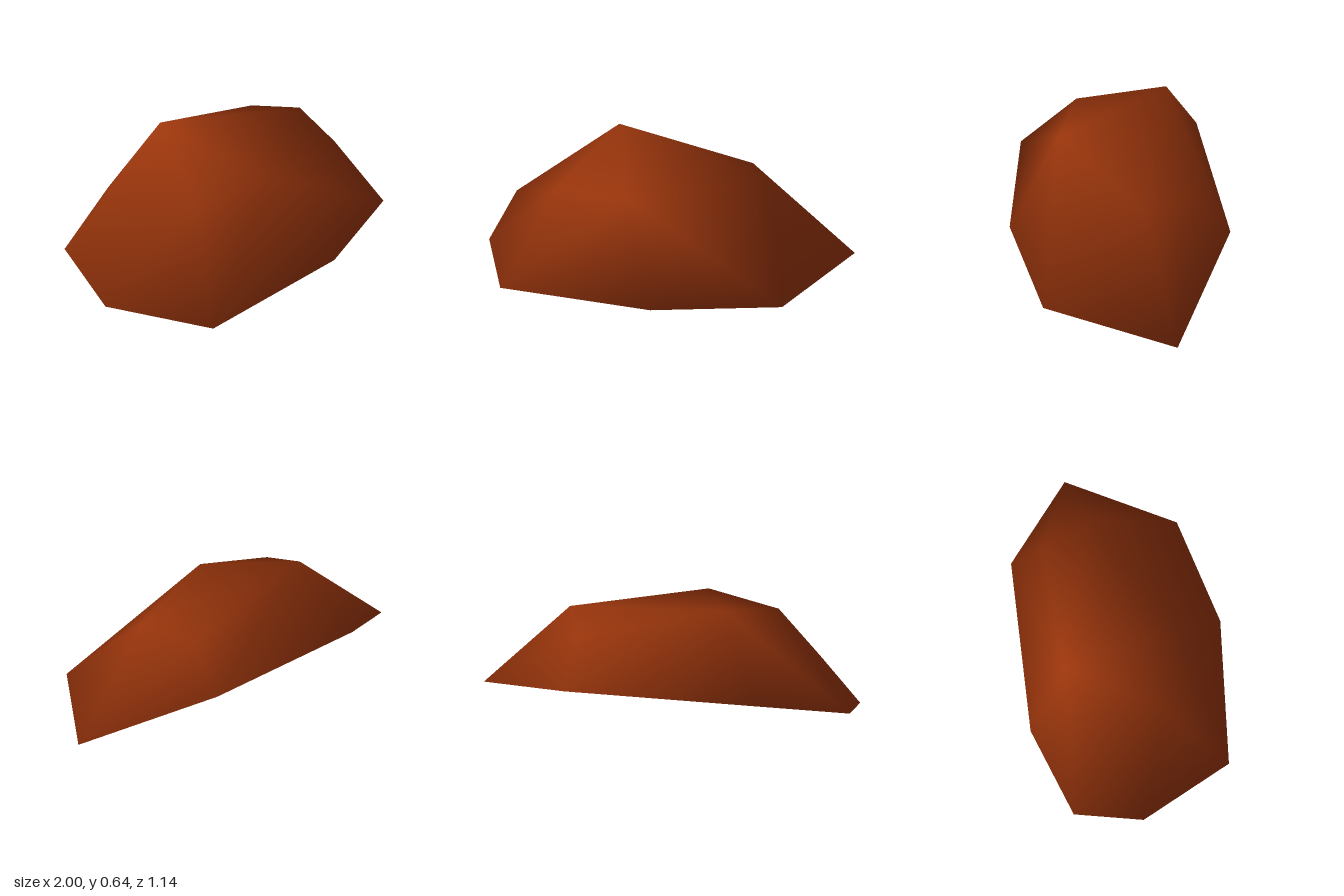
import * as THREE from 'three';
import { ConvexGeometry } from 'three/addons/geometries/ConvexGeometry.js';
import { mergeVertices } from 'three/addons/utils/BufferGeometryUtils.js';

// Corners of the rock, ring by ring
const base = [
  [-1, 0.025, -0.11], [-0.82, 0.02, 0.4], [-0.04, 0.03, 0.57],
  [0.6, 0.03, 0.49], [1, 0.04, -0.08], [-0.3, 0, -0.125],
];
const backEdge = [[-0.91, 0.165, -0.455], [-0.46, 0.255, -0.575], [0.48, 0.24, -0.485]];
const crown = [
  [-0.29, 0.64, -0.34], [0.44, 0.45, -0.3], [0.52, 0.485, -0.03],
  [-0.185, 0.48, 0.26], [-0.56, 0.45, 0.1],
];

// Closed low-poly hull whose normals fan out from its core, for soft round shading
function softHull(corners, core) {
  let geo = new ConvexGeometry(corners.map((c) => new THREE.Vector3(...c)));
  geo.deleteAttribute('normal');
  geo = mergeVertices(geo, 1e-4);
  const normals = geo.attributes.position.clone();
  const n = new THREE.Vector3();
  for (let i = 0; i < normals.count; i++) {
    n.fromBufferAttribute(normals, i).sub(core).normalize();
    normals.setXYZ(i, n.x, n.y, n.z);
  }
  geo.setAttribute('normal', normals);
  return geo;
}

export function createModel() {
  const group = new THREE.Group();
  group.name = 'rock';

  const rust = new THREE.MeshStandardMaterial({ color: 0x9c360c });
  rust.name = 'rust orange';

  const core = new THREE.Vector3(-0.05, 0.24, -0.08);
  const stone = new THREE.Mesh(softHull([...base, ...backEdge, ...crown], core), rust);
  stone.name = 'stone';
  group.add(stone);
  return group;
}
